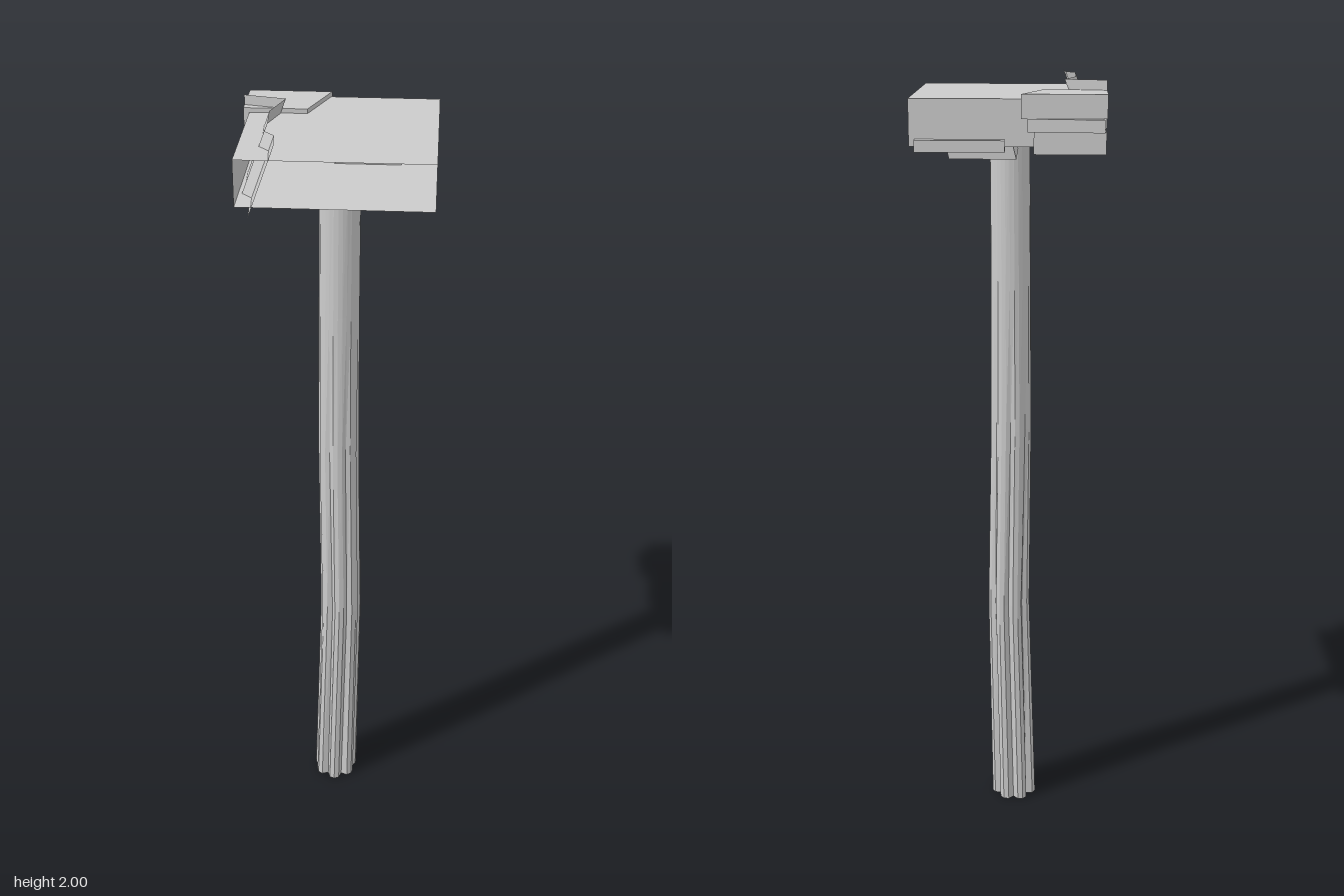
import * as THREE from 'three';

const grey = new THREE.MeshStandardMaterial({ color: 0xcccccc, flatShading: true });
const sheet = new THREE.MeshStandardMaterial({ color: 0xcccccc, flatShading: true, side: THREE.DoubleSide });

// Strip of quads between two or more rows of [x, y, z] points
function loft(rows) {
  const n = rows[0].length, index = [];
  for (let j = 0; j < rows.length - 1; j++) {
    for (let i = 0; i < n - 1; i++) {
      const a = j * n + i, b = a + n;
      index.push(a, b, a + 1, b, b + 1, a + 1);
    }
  }
  const g = new THREE.BufferGeometry();
  g.setAttribute('position', new THREE.Float32BufferAttribute(rows.flat(2), 3));
  g.setIndex(index);
  g.computeVertexNormals();
  return g;
}

// Upright block from a plan of [x, z] corners
function prism(plan, y0, y1) {
  const shape = new THREE.Shape(plan.map(([x, z]) => new THREE.Vector2(x, -z)));
  return new THREE.ExtrudeGeometry(shape, { depth: y1 - y0, bevelEnabled: false })
    .rotateX(-Math.PI / 2).translate(0, y0, 0);
}

// Post: round at the top, splitting into ridges toward the foot
function postGeometry() {
  // y, centre x, centre z, radius x, radius z, groove depth
  const rings = [
    [1.85, 0.005, 0.005, 0.05, 0.047, 0],
    [1.5, 0.003, 0.006, 0.051, 0.049, 0.02],
    [1.1, 0.002, 0.008, 0.054, 0.053, 0.12],
    [0.6, 0.008, 0.013, 0.057, 0.06, 0.2],
    [0, -0.006, 0.02, 0.062, 0.068, 0.28],
  ];
  const sides = 28;
  const rows = rings.map(([y, cx, cz, rx, rz, groove]) =>
    Array.from({ length: sides + 1 }, (_, i) => {
      const k = i % sides, a = (k / sides) * Math.PI * 2;
      const r = 1 - groove * (k % 4 === 2 ? 1 : k % 4 === 0 ? 0 : 0.2);
      return [cx + Math.sin(a) * rx * r, y, cz + Math.cos(a) * rz * r];
    }));
  const [, x, z] = rings[4];
  rows.push(rows[4].map(() => [x, 0, z]));
  rows.unshift(rows[0].map(() => [rings[0][1], 1.85, rings[0][2]]));
  return loft(rows);
}

export function createModel() {
  const model = new THREE.Group();
  const add = (name, geometry, material = grey) => {
    const mesh = new THREE.Mesh(geometry, material);
    mesh.name = name;
    model.add(mesh);
    return mesh;
  };

  add('post', postGeometry(), sheet);

  // Hollow head: top and bottom sheets, back and right walls, open elsewhere
  const x0 = -0.218, x1 = 0.234, z0 = -0.222, z1 = 0.23, low = 1.855, high = 1.965;
  for (const [name, y] of [['bottomSheet', low], ['topSheet', high]]) {
    add(name, loft([[[x0, y, z0], [x1, y, z0]], [[x0, y, z1], [x1, y, z1]]]), sheet);
  }
  const wallPath = [[x1, z0], [x0, z0], [x0, z1]];
  add('headWalls', loft([high, low].map(y => wallPath.map(([x, z]) => [x, y, z]))), sheet);

  // Jagged leaning fin that cuts through the right side of the head
  const finPath = [[-0.232, -0.115, 0], [-0.13, -0.092, 0.06], [-0.159, 0, 0.06], [-0.154, 0.08, 0.06],
    [-0.156, 0.138, 0.06], [-0.131, 0.165, 0.06], [-0.125, 0.236, 0.06]];
  add('jaggedFin', loft([
    finPath.map(([x, z]) => [x, 2, z]),
    finPath.map(([x, z, lean]) => [x - lean, 1.838, z + lean * 0.15]),
  ]), sheet);

  // Stacked corner blocks
  add('upperCornerBlock', prism([[-0.232, -0.227], [-0.03, -0.227], [-0.079, -0.092], [-0.232, -0.092]], 1.92, 1.976));
  add('middleCornerBlock', prism([[-0.226, -0.248], [-0.045, -0.232], [-0.11, -0.06], [-0.2, -0.072]], 1.89, 1.92));
  add('lowerCornerBlock', prism([[-0.23, -0.227], [-0.06, -0.227], [-0.09, -0.085], [-0.228, -0.085]], 1.838, 1.89));

  // Skewed block behind the post, sheared sideways, and the ledge on the back wall
  const skew = new THREE.BoxGeometry(0.16, 0.105, 0.13);
  const p = skew.attributes.position;
  for (let i = 0; i < p.count; i++) {
    p.setX(i, p.getX(i) + p.getY(i) * 0.25);
    p.setY(i, p.getY(i) + p.getZ(i) * 0.08);
  }
  skew.computeVertexNormals();
  add('skewedBlock', skew).position.set(0.075, 1.88, -0.125);
  add('backLedge', new THREE.BoxGeometry(0.212, 0.028, 0.026)).position.set(0.114, 1.858, -0.233);

  return model;
}
